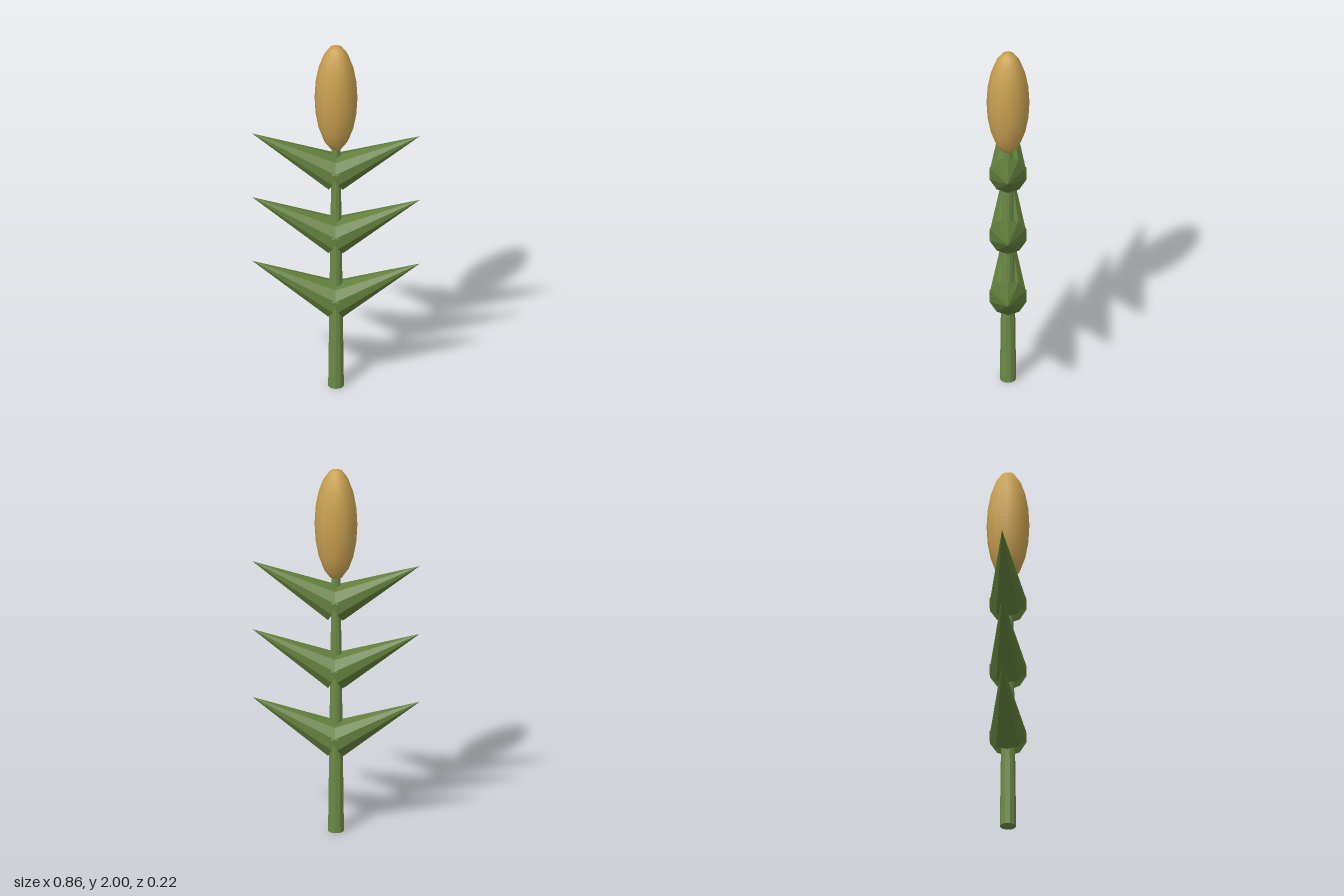
import * as THREE from 'three';

const material = (color, flatShading) => {
  const m = new THREE.MeshStandardMaterial({ flatShading });
  m.color.set(color);
  return m;
};

export function createModel() {
  const plant = new THREE.Group();
  plant.name = 'cerealPlant';
  const add = (name, geometry, mat, x, y) => {
    const mesh = new THREE.Mesh(geometry, mat);
    mesh.name = name;
    mesh.position.set(x, y, 0);
    plant.add(mesh);
    return mesh;
  };

  // Tapering ten-sided stalk, running up into the seed head
  const stalkHeight = 1.5;
  add('stalk', new THREE.CylinderGeometry(0.0225, 0.042, stalkHeight, 10),
    material(0x6b8a47, true), 0, stalkHeight / 2);

  // Three pairs of faceted cone leaves, leaning up and outwards
  const leafLength = 0.483;
  const tilt = THREE.MathUtils.degToRad(63);
  const leafGeometry = new THREE.ConeGeometry(0.099, leafLength, 10, 1, false, Math.PI / 2);
  leafGeometry.translate(0, leafLength / 2, 0); // pivot at the base centre
  const leafMaterial = material(0x5f7d3a, true);
  for (let tier = 0; tier < 3; tier++) {
    for (const side of [1, -1]) {
      const name = (side > 0 ? 'leftLeaf' : 'rightLeaf') + (tier + 1);
      const leaf = add(name, leafGeometry, leafMaterial, 0, 0.505 + tier * 0.3755);
      leaf.rotation.z = -side * tilt;
    }
  }

  // Smooth elongated seed head
  const headGeometry = new THREE.SphereGeometry(1, 12, 10);
  headGeometry.scale(0.11, 0.305, 0.11);
  add('seedHead', headGeometry, material(0xc8a050, false), 0, 1.695);

  return plant;
}
